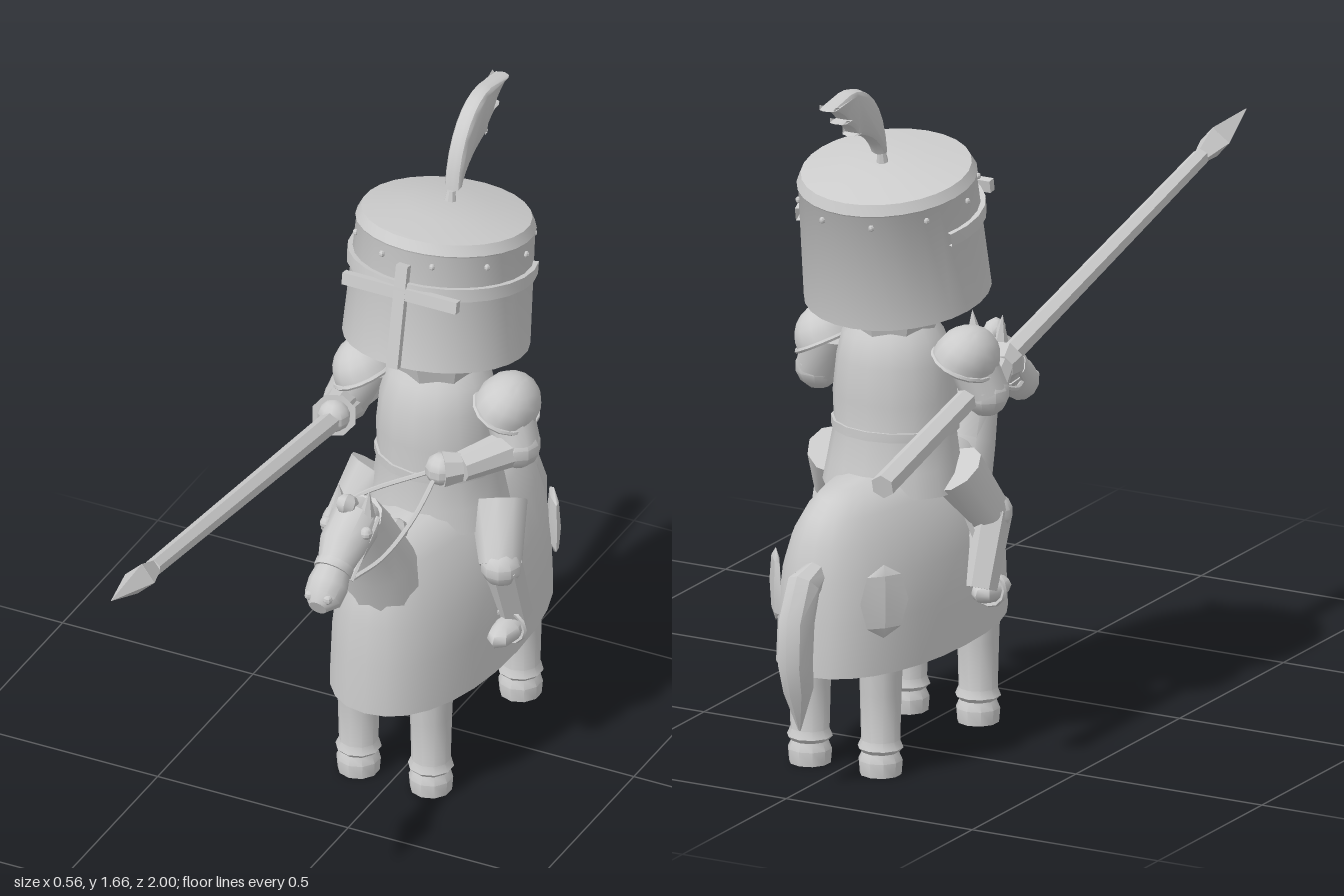
import * as THREE from 'three';
import { toCreasedNormals } from 'three/addons/utils/BufferGeometryUtils.js';

const V = (x, y, z) => new THREE.Vector3(x, y, z);
const grey = new THREE.MeshStandardMaterial({ color: 0xcccccc, side: THREE.DoubleSide });

function add(parent, name, geo, pos = [0, 0, 0], rot = [0, 0, 0], scale = [1, 1, 1]) {
  const mesh = new THREE.Mesh(toCreasedNormals(geo, 0.7), grey);
  mesh.name = name;
  mesh.position.set(...pos);
  mesh.rotation.set(...rot);
  mesh.scale.set(...scale);
  parent.add(mesh);
  return mesh;
}

// Tapered rod from point a to point b
function rod(parent, name, a, b, ra, rb, sides = 8) {
  const d = V(...b).sub(V(...a));
  const mesh = add(parent, name, new THREE.CylinderGeometry(rb, ra, d.length(), sides));
  mesh.position.copy(V(...a)).addScaledVector(d, 0.5);
  mesh.quaternion.setFromUnitVectors(V(0, 1, 0), d.normalize());
  return mesh;
}

// Closed skin over rings [y, z, halfWidth, halfDepth]; rings are level if flat, else follow the path
function loft(rings, n = 12, flat = false, power = 1) {
  const pos = [], idx = [];
  const bend = (v) => Math.sign(v) * Math.abs(v) ** power;
  rings.forEach(([y, z, rx, rz], i) => {
    const p = rings[Math.max(i - 1, 0)], q = rings[Math.min(i + 1, rings.length - 1)];
    const l = Math.hypot(q[0] - p[0], q[1] - p[1]);
    const dy = flat ? 1 : (q[0] - p[0]) / l, dz = flat ? 0 : (q[1] - p[1]) / l;
    for (let j = 0; j < n; j++) {
      const t = (j / n) * Math.PI * 2, s = rz * bend(Math.sin(t));
      pos.push(rx * bend(Math.cos(t)), y - dz * s, z + dy * s);
    }
  });
  const last = (rings.length - 1) * n, c0 = rings.length * n;
  for (const r of [rings[0], rings[rings.length - 1]]) pos.push(0, r[0], r[1]);
  for (let j = 0; j < n; j++) {
    const k = (j + 1) % n;
    for (let i = 0; i < last; i += n) idx.push(i + j, i + n + j, i + k, i + k, i + n + j, i + n + k);
    idx.push(c0, j, k, c0 + 1, last + k, last + j);
  }
  const g = new THREE.BufferGeometry();
  g.setAttribute('position', new THREE.Float32BufferAttribute(pos, 3));
  g.setIndex(idx);
  return g;
}

const lathe = (pts, n, start, len) => new THREE.LatheGeometry(pts.map((p) => new THREE.Vector2(...p)), n, start, len);
const ball = (r, n = 10) => new THREE.SphereGeometry(r, n, Math.ceil(n * 0.7));

function buildHorse() {
  const horse = new THREE.Group();
  horse.name = 'horse';
  // Long cloth over the body, and the belly under it
  add(horse, 'bodyCloth', loft([
    [0.27, -0.49, 0.2, 0.405], [0.4, -0.49, 0.195, 0.4], [0.5, -0.49, 0.183, 0.39], [0.58, -0.49, 0.155, 0.375],
    [0.64, -0.49, 0.12, 0.345], [0.675, -0.48, 0.09, 0.31], [0.69, -0.47, 0.05, 0.27],
  ], 28, true, 0.9));
  add(horse, 'belly', ball(1, 16), [0, 0.33, -0.46], [0, 0, 0], [0.14, 0.075, 0.3]);

  for (const s of [-1, 1]) {
    add(horse, 'clothPatch', new THREE.SphereGeometry(1, 5, 4), [s * 0.145, 0.45, -0.79], [0, s * 0.65, 0], [0.012, 0.09, 0.065]);
    for (const z of [-0.245, -0.715]) {
      add(horse, 'leg', lathe([[0, 0], [0.05, 0], [0.053, 0.035], [0.044, 0.055], [0.055, 0.066], [0.047, 0.085],
        [0.05, 0.2], [0.058, 0.4], [0, 0.4]], 10), [s * 0.095, 0, z]);
    }
    add(horse, 'ear', new THREE.ConeGeometry(0.022, 0.075, 6), [s * 0.037, 0.895, -0.03], [0, 0, -s * 0.1]);
    add(horse, 'eye', ball(0.016), [s * 0.052, 0.84, 0.01]);
    add(horse, 'nostril', ball(0.012, 8), [s * 0.024, 0.73, 0.155]);
    // Rein from the bit to the rider's left hand
    const rein = new THREE.CatmullRomCurve3([V(s * 0.042, 0.74, 0.06), V(s * 0.075, 0.755, -0.03),
      V(s * 0.085 + 0.01, 0.8, -0.15), V(0.1, 0.87, -0.28)]);
    add(horse, 'rein', new THREE.TubeGeometry(rein, 16, 0.006, 5));
    rod(horse, 'cheekStrap', [s * 0.044, 0.74, 0.07], [s * 0.06, 0.86, -0.04], 0.006, 0.006, 5);
  }
  add(horse, 'neck', loft([[0.56, -0.2, 0.095, 0.09], [0.66, -0.16, 0.085, 0.085], [0.75, -0.11, 0.065, 0.075],
    [0.83, -0.06, 0.055, 0.06]], 10));
  add(horse, 'head', loft([[0.835, -0.08, 0.045, 0.045], [0.83, -0.035, 0.062, 0.066], [0.8, 0.03, 0.058, 0.058],
    [0.765, 0.075, 0.041, 0.043], [0.737, 0.105, 0.049, 0.05], [0.715, 0.135, 0.046, 0.046], [0.703, 0.16, 0.022, 0.022]], 12));
  add(horse, 'noseband', loft([[0.772, 0.066, 0.047, 0.049], [0.76, 0.083, 0.047, 0.049]], 12));
  for (let i = 0; i < 6; i++) {
    const t = i / 5;
    add(horse, 'maneLock', ball(1, 7), [(i % 2 ? 1 : -1) * 0.012, 0.885 - 0.18 * t, -0.02 - 0.21 * t], [-0.7, 0, 0], [0.028, 0.026, 0.036]);
  }
  add(horse, 'tail', loft([[0.52, -0.85, 0.028, 0.03], [0.5, -0.915, 0.04, 0.046], [0.42, -0.95, 0.041, 0.05],
    [0.32, -0.955, 0.04, 0.047], [0.25, -0.94, 0.034, 0.042], [0.15, -0.935, 0.003, 0.003]], 8));
  return horse;
}

function buildHelmet() {
  const helmet = new THREE.Group();
  helmet.name = 'helmet';
  helmet.position.set(0, 1.265, -0.49);
  helmet.rotation.x = -0.175;
  add(helmet, 'shell', lathe([[0, 0.14], [0.19, 0.14], [0.208, -0.16], [0.222, -0.16], [0.211, 0.13], [0.214, 0.135],
    [0.202, 0.16], [0.1, 0.178], [0, 0.183]], 28));
  // Cross of plates over the eye slit
  add(helmet, 'browBand', lathe([[0.21, 0.024], [0.226, 0.024], [0.226, 0.056], [0.21, 0.056], [0.21, 0.024]], 16, -1.95, 3.9));
  add(helmet, 'crossBar', new THREE.BoxGeometry(0.3, 0.03, 0.02), [0, 0.03, 0.222]);
  add(helmet, 'noseBar', new THREE.BoxGeometry(0.03, 0.26, 0.024), [0, -0.03, 0.222], [-0.03, 0, 0]);
  for (let i = 0; i < 10; i++) {
    const a = ((i + 0.5) / 10) * Math.PI * 2;
    add(helmet, 'rivet', ball(0.008, 6), [Math.sin(a) * 0.213, 0.105, Math.cos(a) * 0.213]);
  }
  add(helmet, 'plumeSocket', new THREE.CylinderGeometry(0.01, 0.016, 0.035, 8), [0, 0.19, -0.015]);
  return helmet;
}

function buildPlume() {
  // Feather outline: x runs backward, y up
  const f = new THREE.Shape();
  f.moveTo(0.54, 1.465);
  f.bezierCurveTo(0.55, 1.6, 0.64, 1.67, 0.72, 1.66);
  f.lineTo(0.815, 1.64);
  f.quadraticCurveTo(0.77, 1.63, 0.735, 1.6);
  f.lineTo(0.765, 1.595);
  f.quadraticCurveTo(0.71, 1.58, 0.69, 1.555);
  f.lineTo(0.705, 1.55);
  f.bezierCurveTo(0.64, 1.54, 0.58, 1.51, 0.56, 1.465);
  const g = new THREE.ExtrudeGeometry(f, { depth: 0.008, bevelThickness: 0.018, bevelSize: 0.012, bevelOffset: -0.012, bevelSegments: 2, curveSegments: 8 });
  g.translate(0, 0, -0.004);
  return g.rotateY(Math.PI / 2);
}

function buildRider() {
  const rider = new THREE.Group();
  rider.name = 'rider';
  add(rider, 'torso', loft([[0.64, -0.48, 0.172, 0.158], [0.7, -0.48, 0.16, 0.148], [0.78, -0.475, 0.147, 0.136],
    [0.86, -0.475, 0.15, 0.138], [0.95, -0.475, 0.14, 0.134], [1.01, -0.48, 0.125, 0.115], [1.05, -0.48, 0.095, 0.085]], 16, true));
  add(rider, 'belt', loft([[0.775, -0.475, 0.154, 0.142], [0.797, -0.475, 0.154, 0.142]], 16, true));
  add(rider, 'collar', new THREE.CylinderGeometry(0.122, 0.1, 0.07, 8, 1, true), [0, 1.04, -0.48]);
  add(rider, 'neck', new THREE.CylinderGeometry(0.08, 0.085, 0.12, 12), [0, 1.07, -0.48]);
  add(rider, 'face', ball(0.15, 16), [0, 1.23, -0.49]);
  rider.add(buildHelmet());
  add(rider, 'plume', buildPlume());

  for (const s of [-1, 1]) {
    const elbow = [s * 0.225, 0.88, -0.44];
    const wrist = s > 0 ? [0.14, 0.868, -0.31] : [-0.205, 0.91, -0.345];
    const hand = s > 0 ? [0.105, 0.87, -0.28] : [-0.192, 0.917, -0.31];
    // Shoulder plate with a rim
    const shoulder = new THREE.Group();
    shoulder.name = 'shoulderPlate';
    shoulder.position.set(s * 0.185, 0.965, -0.465);
    shoulder.rotation.z = -s * 0.45;
    shoulder.scale.set(0.85, 0.9, 1.05);
    add(shoulder, 'dome', new THREE.SphereGeometry(0.09, 14, 6, 0, Math.PI * 2, 0, 1.65));
    add(shoulder, 'rim', new THREE.TorusGeometry(0.09, 0.007, 6, 16), [0, -0.005, 0], [Math.PI / 2, 0, 0]);
    rider.add(shoulder);
    rod(rider, 'upperArm', [s * 0.185, 0.98, -0.46], elbow, 0.06, 0.055, 10);
    add(rider, 'elbow', ball(0.056), elbow);
    rod(rider, 'forearm', elbow, wrist, 0.048, 0.036, 8);
    rod(rider, 'gauntletCuff', wrist, hand, 0.036, s > 0 ? 0.046 : 0.055, 8);
    add(rider, 'hand', ball(0.04), hand);

    rod(rider, 'thigh', [s * 0.16, 0.69, -0.47], [s * 0.205, 0.57, -0.39], 0.07, 0.052, 10);
    add(rider, 'knee', ball(0.05), [s * 0.21, 0.57, -0.385]);
    rod(rider, 'greave', [s * 0.213, 0.575, -0.385], [s * 0.213, 0.4, -0.45], 0.047, 0.042, 6);
    add(rider, 'foot', ball(1, 8), [s * 0.216, 0.385, -0.4], [0, 0, 0], [0.036, 0.03, 0.075]);
    add(rider, 'stirrup', new THREE.TorusGeometry(0.042, 0.006, 5, 12), [s * 0.216, 0.39, -0.41]);
    rod(rider, 'stirrupStrap', [s * 0.165, 0.6, -0.45], [s * 0.215, 0.43, -0.41], 0.008, 0.008, 4);
  }
  return rider;
}

function buildLance() {
  const lance = new THREE.Group();
  lance.name = 'lance';
  const butt = [-0.225, 0.785, -0.94], neck = [-0.133, 1.118, 0.76];
  const wide = [-0.129, 1.133, 0.835], tip = [-0.121, 1.168, 1.0];
  rod(lance, 'shaft', butt, neck, 0.03, 0.021, 6);
  rod(lance, 'bladeBase', neck, wide, 0.02, 0.038, 4);
  rod(lance, 'bladePoint', wide, tip, 0.038, 0.001, 4);
  return lance;
}

export function createModel() {
  const model = new THREE.Group();
  model.name = 'mountedKnight';
  model.add(buildHorse(), buildRider(), buildLance());
  return model;
}
